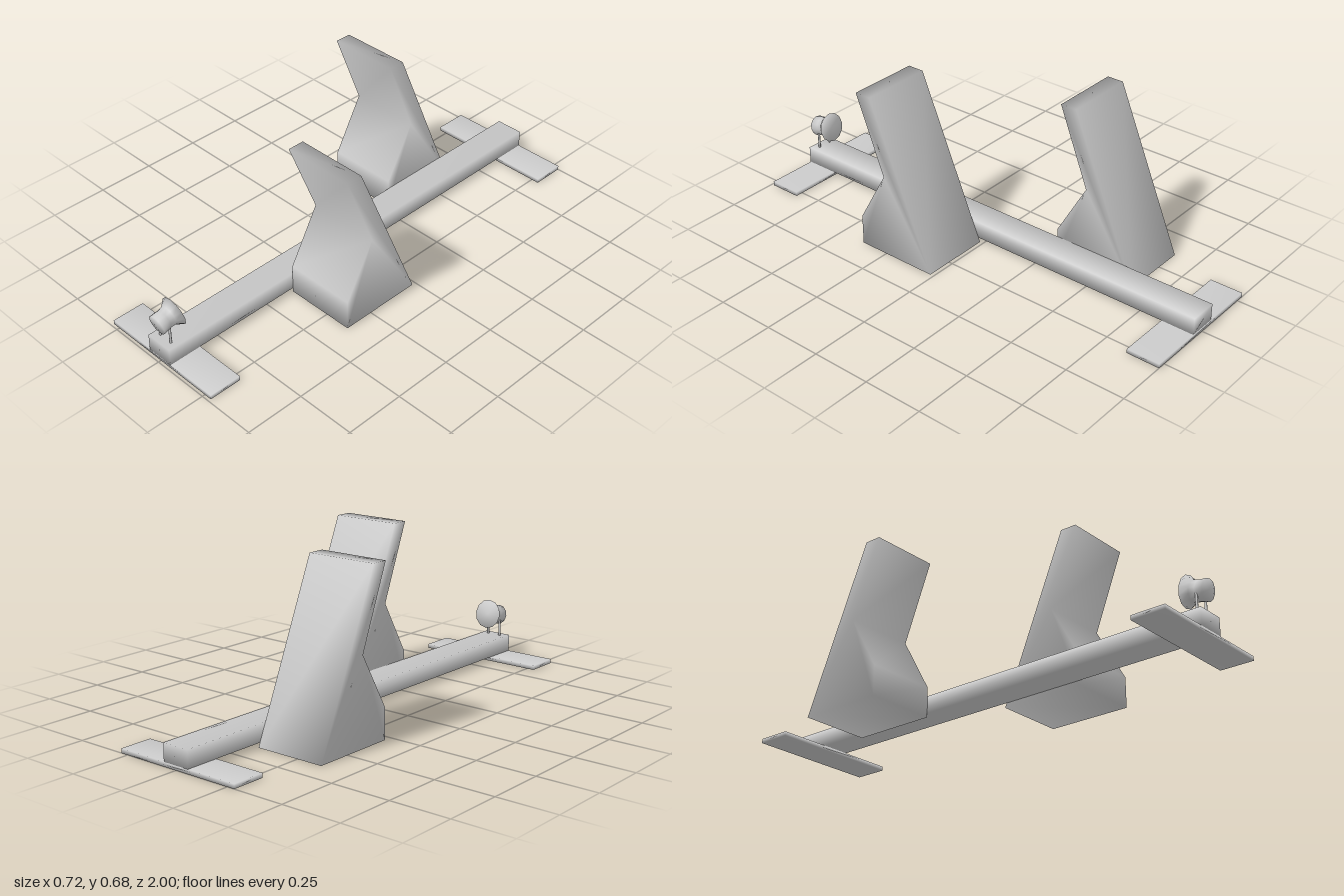
import * as THREE from 'three';
import { mergeVertices } from 'three/addons/utils/BufferGeometryUtils.js';

const material = new THREE.MeshStandardMaterial({ color: 0xcccccc });

// Weld the corners so the normals blend over the edges
function smooth(geometry) {
  geometry.deleteAttribute('normal');
  geometry.deleteAttribute('uv');
  const welded = mergeVertices(geometry, 1e-4);
  welded.computeVertexNormals();
  return welded;
}

function addMesh(parent, name, geometry, x = 0, y = 0, z = 0) {
  const mesh = new THREE.Mesh(smooth(geometry), material);
  mesh.name = name;
  mesh.position.set(x, y, z);
  parent.add(mesh);
  return mesh;
}

// Side outline (z, y) of a foot block, extruded along x
function footBlockGeometry(width) {
  const outline = [
    [-0.18, 0], [0.18, 0], [0.18, 0.127],
    [0.051, 0.355], [0.18, 0.68], [0.11, 0.68],
  ];
  const shape = new THREE.Shape(outline.map(([z, y]) => new THREE.Vector2(-z, y)));
  const geometry = new THREE.ExtrudeGeometry(shape, { depth: width, bevelEnabled: false });
  geometry.translate(0, 0, -width / 2);
  geometry.rotateY(Math.PI / 2);
  return geometry;
}

export function createModel() {
  const group = new THREE.Group();
  group.name = 'startingBlocks';

  // Central rail
  addMesh(group, 'rail', new THREE.BoxGeometry(0.12, 0.072, 1.99), 0, 0.054, -0.005);

  // Flat cross feet at both ends
  addMesh(group, 'frontFoot', new THREE.BoxGeometry(0.566, 0.018, 0.14), 0, 0.009, 0.918);
  addMesh(group, 'backFoot', new THREE.BoxGeometry(0.566, 0.018, 0.14), 0, 0.009, -0.93);

  // Staggered foot blocks
  addMesh(group, 'leftFootBlock', footBlockGeometry(0.302), 0.211, 0, 0.196);
  addMesh(group, 'rightFootBlock', footBlockGeometry(0.302), -0.211, 0, -0.464);

  // Small speaker on two posts, its flared end tilted up and back
  const speaker = new THREE.Group();
  speaker.name = 'speaker';
  group.add(speaker);
  const profile = [
    [0, -0.085], [0.043, -0.085], [0.04, -0.05], [0.042, -0.027], [0.063, 0], [0, 0],
  ].map(([r, y]) => new THREE.Vector2(r, y));
  const horn = addMesh(speaker, 'speakerHorn', new THREE.LatheGeometry(profile, 12), 0, 0.1935, 0.9065);
  horn.rotation.x = -1.354;
  for (const side of [-1, 1]) {
    addMesh(speaker, side > 0 ? 'leftPost' : 'rightPost',
      new THREE.CylinderGeometry(0.005, 0.005, 0.08, 8), side * 0.03, 0.128, 0.957);
  }

  return group;
}
